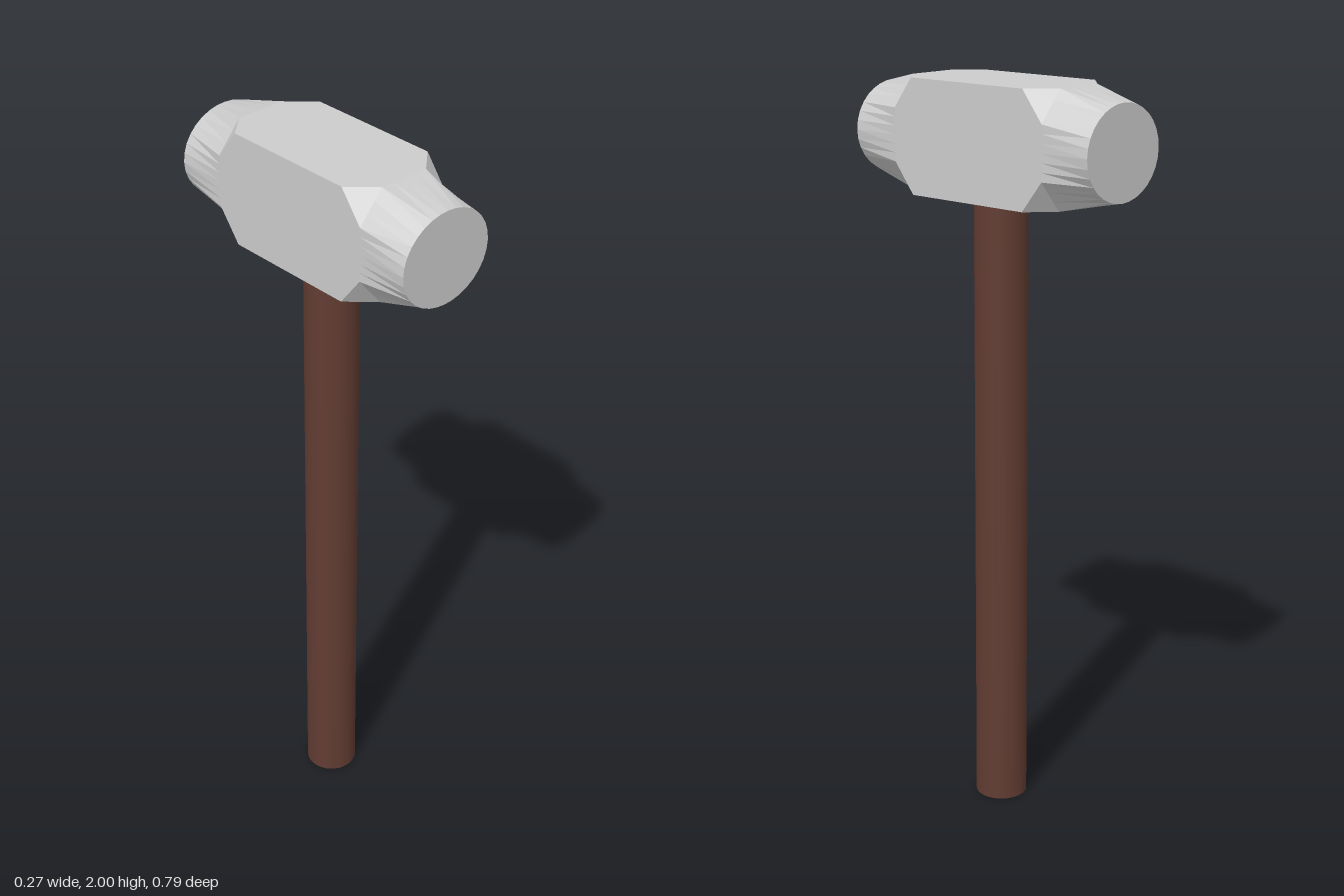
import * as THREE from 'three';

const HX = 0.137, HY = 0.15;      // half size of the square head block
const CX = 0.07, CY = 0.07;       // where the chamfers start on each face
const CENTER_Y = 1.85;

// One quarter of the outline: half a side face, the diagonal, half a top face.
// Each entry holds matching points of the round face, the octagon and the block.
function quarterProfile() {
  const out = [];
  const spans = [
    { a: [0, 35], from: [HX, 0], to: [HX, CY], bFrom: [HX, 0], bTo: [HX, HY], n: 3 },
    { a: [35, 69], from: [HX, CY], to: [CX, HY], bFrom: [HX, HY], bTo: [HX, HY], n: 3 },
    { a: [69, 90], from: [CX, HY], to: [0, HY], bFrom: [HX, HY], bTo: [0, HY], n: 2 },
  ];
  const mix = (p, q, t) => [p[0] + (q[0] - p[0]) * t, p[1] + (q[1] - p[1]) * t];
  for (const s of spans) {
    for (let i = 0; i < s.n; i++) {
      const t = i / s.n;
      const ang = THREE.MathUtils.degToRad(s.a[0] + (s.a[1] - s.a[0]) * t);
      out.push([[0.137 * Math.cos(ang), 0.122 * Math.sin(ang)], mix(s.from, s.to, t), mix(s.bFrom, s.bTo, t)]);
    }
  }
  out.push([[0, 0.122], [0, HY], [0, HY]]);
  return out;
}

// Mirror the quarter into a closed counter-clockwise outline
function fullProfile() {
  const q = quarterProfile();
  const flip = (list, sx, sy) => list.map(e => e.map(([x, y]) => [x * sx, y * sy]));
  const r = [...q].reverse();
  return [...q.slice(0, -1), ...flip(r, -1, 1).slice(0, -1),
    ...flip(q, -1, -1).slice(0, -1), ...flip(r, 1, -1).slice(0, -1)];
}

function headGeometry() {
  const profile = fullProfile();
  const n = profile.length;
  // Sections from back to front: [z, which outline]
  const sections = [[-0.397, 0], [-0.253, 1], [-0.19, 2], [0.19, 2], [0.253, 1], [0.397, 0]];
  const rings = sections.map(([z, k]) => profile.map(e => new THREE.Vector3(e[k][0], e[k][1], z)));
  const pos = [];
  const tri = (a, b, c) => {
    const area = b.clone().sub(a).cross(c.clone().sub(a)).length();
    if (area > 1e-9) for (const p of [a, b, c]) pos.push(p.x, p.y, p.z);
  };
  for (let s = 0; s < rings.length - 1; s++) {
    for (let i = 0; i < n; i++) {
      const j = (i + 1) % n;
      tri(rings[s][i], rings[s][j], rings[s + 1][j]);
      tri(rings[s][i], rings[s + 1][j], rings[s + 1][i]);
    }
  }
  // Striking faces
  const back = new THREE.Vector3(0, 0, -0.397), front = new THREE.Vector3(0, 0, 0.397);
  for (let i = 0; i < n; i++) {
    const j = (i + 1) % n;
    tri(back, rings[0][j], rings[0][i]);
    tri(front, rings[5][i], rings[5][j]);
  }
  const g = new THREE.BufferGeometry();
  g.setAttribute('position', new THREE.Float32BufferAttribute(pos, 3));
  g.computeVertexNormals();
  return g;
}

export function createModel() {
  const group = new THREE.Group();
  group.name = 'sledgehammer';

  // Steel head
  const head = new THREE.Mesh(headGeometry(),
    new THREE.MeshStandardMaterial({ color: 0xcccccc, flatShading: true }));
  head.name = 'head';
  head.position.y = CENTER_Y;
  group.add(head);

  // Wooden handle, running a little way into the head
  const length = 1.75;
  const handle = new THREE.Mesh(new THREE.CylinderGeometry(0.071, 0.071, length, 32),
    new THREE.MeshStandardMaterial({ color: 0x613c32 }));
  handle.name = 'handle';
  handle.position.set(0, length / 2, 0.005);
  group.add(handle);

  return group;
}
